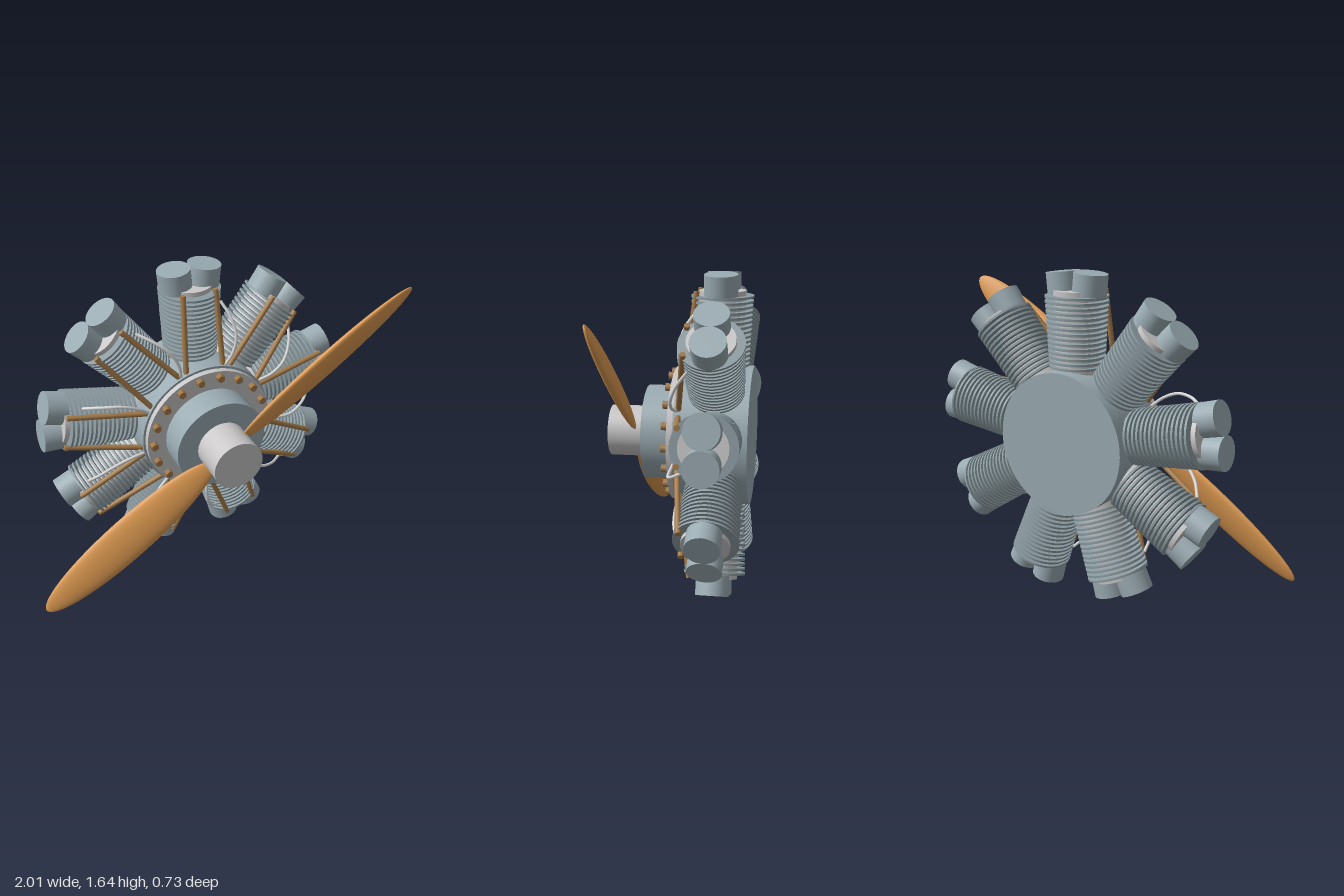
import * as THREE from 'three';

const material = (name, color) => {
  const m = new THREE.MeshStandardMaterial({ color });
  m.name = name;
  return m;
};

export function createModel() {
  const steel = material('blue grey steel', 0x9aabb2);
  const finSteel = material('fin steel', 0x8c9ca2);
  const alloy = material('light alloy', 0xc9c7c7);
  const brass = material('brass', 0xa67c4a);
  const wood = material('varnished wood', 0xdb9850);
  const wireGrey = material('wire grey', 0xd8d8d8);

  const model = new THREE.Group();
  model.name = 'radialEngine';
  const engine = new THREE.Group();
  engine.name = 'engine';
  engine.position.y = 0.81;
  model.add(engine);

  const add = (parent, name, geometry, mat) => {
    const mesh = new THREE.Mesh(geometry, mat);
    mesh.name = name;
    parent.add(mesh);
    return mesh;
  };

  // Round part along z, from z0 to z1
  const drum = (name, radius, z0, z1, mat, sides = 64) => {
    const g = new THREE.CylinderGeometry(radius, radius, z1 - z0, sides);
    g.rotateX(Math.PI / 2);
    g.translate(0, 0, (z0 + z1) / 2);
    return add(engine, name, g, mat);
  };

  // Straight rod between two points
  const rod = (parent, name, a, b, radius, mat) => {
    const dir = b.clone().sub(a);
    const mesh = add(parent, name, new THREE.CylinderGeometry(radius, radius, dir.length(), 10), mat);
    mesh.position.copy(a).add(b).multiplyScalar(0.5);
    mesh.quaternion.setFromUnitVectors(new THREE.Vector3(0, 1, 0), dir.normalize());
    return mesh;
  };

  // Crankcase, front plate, gear housing and hub
  drum('crankcase', 0.352, -0.36, 0, steel);
  drum('frontPlate', 0.34, -0.005, 0.03, alloy);
  drum('gearHousing', 0.24, 0.03, 0.175, steel);
  drum('propellerHub', 0.13, 0.175, 0.365, alloy, 48);

  // Ring of hexagonal bolts
  for (let i = 0; i < 18; i++) {
    const a = (i * Math.PI) / 9;
    const bolt = drum('plateBolt', 0.02, 0.03, 0.06, brass, 6);
    bolt.position.set(0.31 * Math.cos(a), 0.31 * Math.sin(a), 0);
  }

  // One cylinder, pointing up, with the crank axis at the origin
  const barrelGeo = new THREE.CylinderGeometry(0.115, 0.115, 0.43, 32);
  const rockerGeo = new THREE.CylinderGeometry(0.083, 0.083, 0.115, 32);
  const finCount = 15;
  const finGeos = Array.from({ length: finCount }, (_, i) => {
    const r = 0.137 + (0.018 * i) / (finCount - 1);
    return new THREE.CylinderGeometry(r, r, 0.011, 36);
  });
  const wireGeo = new THREE.TubeGeometry(new THREE.CatmullRomCurve3([
    new THREE.Vector3(0.1, 0.32, -0.02),
    new THREE.Vector3(0.145, 0.4, -0.005),
    new THREE.Vector3(0.165, 0.49, -0.01),
    new THREE.Vector3(0.15, 0.58, -0.045),
    new THREE.Vector3(0.12, 0.65, -0.1),
  ]), 24, 0.008, 8);

  const makeCylinder = () => {
    const c = new THREE.Group();
    c.name = 'cylinder';
    add(c, 'barrel', barrelGeo, alloy).position.set(0, 0.515, -0.2);
    finGeos.forEach((g, i) => {
      add(c, 'coolingFin', g, finSteel).position.set(0, 0.365 + i * 0.024, -0.2);
    });
    for (const s of [-1, 1]) {
      // Rocker housing, leaning outward
      const rocker = add(c, 'rockerHousing', rockerGeo, steel);
      rocker.position.set(s * 0.076, 0.757, -0.2);
      rocker.rotation.z = -s * 0.1;
      rod(c, 'pushrod', new THREE.Vector3(s * 0.1, 0.335, -0.025),
        new THREE.Vector3(s * 0.085, 0.73, -0.082), 0.014, brass);
    }
    add(c, 'ignitionWire', wireGeo, wireGrey);
    return c;
  };
  for (let i = 0; i < 9; i++) {
    const c = makeCylinder();
    c.rotation.z = (i * Math.PI * 2) / 9;
    engine.add(c);
  }

  // Two pitched propeller blades
  const bladeGeo = new THREE.SphereGeometry(1, 48, 32);
  bladeGeo.rotateZ(-Math.PI / 2);
  bladeGeo.scale(0.56, 0.108, 0.03);
  bladeGeo.rotateX(0.4);
  bladeGeo.translate(0.65, 0, 0.237);
  const propeller = new THREE.Group();
  propeller.name = 'propeller';
  propeller.rotation.z = THREE.MathUtils.degToRad(34.3);
  for (let i = 0; i < 2; i++) {
    add(propeller, 'propellerBlade', bladeGeo, wood).rotation.z = i * Math.PI;
  }
  engine.add(propeller);

  return model;
}
